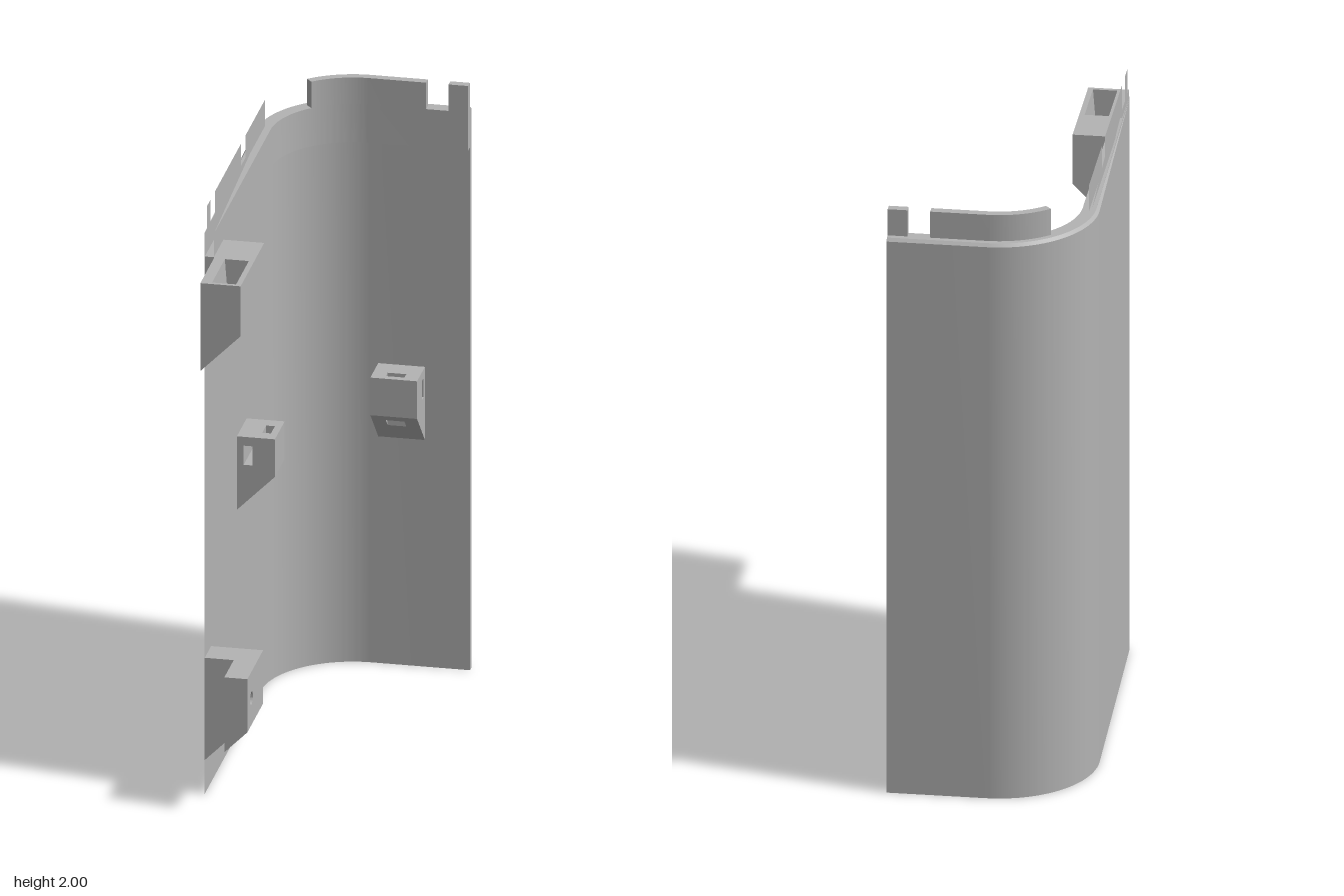
import * as THREE from 'three';
import { toCreasedNormals } from 'three/addons/utils/BufferGeometryUtils.js';

const CZ = -0.383;      // z of the corner arc centre (x = 0)
const FRONT = 0.483;    // front end of the side wall
const RIGHT = 0.315;    // free end of the back wall
const OUT = 0.317, MID = 0.294, IN = 0.264; // wall offsets from the arc centre

export function createModel() {
  const model = new THREE.Group();
  model.name = 'cornerPanel';
  const grey = new THREE.MeshStandardMaterial({ color: 0xb3b3b3, side: THREE.DoubleSide });
  grey.name = 'grey plastic';

  const add = (parent, name, geometry) => {
    const mesh = new THREE.Mesh(geometry, grey);
    mesh.name = name;
    parent.add(mesh);
    return mesh;
  };
  const group = (name) => {
    const g = new THREE.Group();
    g.name = name;
    model.add(g);
    return g;
  };
  const polygon = (points) => new THREE.Shape(points.map(([x, y]) => new THREE.Vector2(x, y)));

  // Prism with an x-y profile, running from z0 to z1
  const prism = (points, z0, z1, hole) => {
    const shape = polygon(points);
    if (hole) shape.holes.push(polygon(hole));
    return new THREE.ExtrudeGeometry(shape, { depth: z1 - z0, bevelEnabled: false }).translate(0, 0, z0);
  };

  // Upright band along the L-shaped wall; start = angle on the arc, or null for the whole side wall
  const band = (rOut, rIn, y0, y1, endX = RIGHT, start = null) => {
    const a = start ?? Math.PI, s = new THREE.Shape();
    if (start === null) s.moveTo(-rOut, -FRONT);
    else s.moveTo(rOut * Math.cos(a), -CZ + rOut * Math.sin(a));
    s.absarc(0, -CZ, rOut, a, Math.PI / 2, true);
    s.lineTo(endX, -CZ + rOut);
    s.lineTo(endX, -CZ + rIn);
    s.absarc(0, -CZ, rIn, Math.PI / 2, a, false);
    if (start === null) s.lineTo(-rIn, -FRONT);
    s.closePath();
    const g = new THREE.ExtrudeGeometry(s, { depth: y1 - y0, bevelEnabled: false, curveSegments: 28 });
    return g.rotateX(-Math.PI / 2).translate(0, y0, 0);
  };

  // Main curved wall
  add(model, 'wall', toCreasedNormals(band(OUT, MID, 0, 1.9), 0.5));

  // Chamfered top rim: outer top vertices are pulled inwards
  const rim = band(OUT, MID, 1.9, 1.91);
  const p = rim.attributes.position;
  for (let i = 0; i < p.count; i++) {
    const x = Math.min(p.getX(i), 0), z = Math.min(p.getZ(i) - CZ, 0);
    const d = Math.hypot(x, z);
    if (p.getY(i) > 1.905 && d > 0.31) {
      p.setX(i, p.getX(i) - (x / d) * 0.009);
      p.setZ(i, p.getZ(i) - (z / d) * 0.009);
    }
  }
  add(model, 'wallRim', toCreasedNormals(rim, 0.5));

  // Thicker inner lip and the tabs above it
  add(model, 'innerLip', toCreasedNormals(band(MID, IN, 1.78, 1.91), 0.5));
  add(model, 'curvedTab', toCreasedNormals(band(0.291, IN, 1.91, 2, 0.18, Math.PI * 0.73), 0.5));
  add(model, 'endTab', new THREE.BoxGeometry(0.063, 0.09, 0.027).translate(0.2835, 1.955, CZ - 0.2775));
  for (const [z0, z1] of [[0.43, FRONT], [-0.04, 0.36], [-0.41, -0.11]]) {
    add(model, 'thinSideTab', new THREE.PlaneGeometry(z1 - z0, 0.09)
      .rotateY(Math.PI / 2).translate(-0.287, 1.955, (z0 + z1) / 2));
  }

  // Wedge clip with a vertical slot and a cross slot; x is the distance from the wall
  const clip = (name) => {
    const g = group(name);
    const slot = [[0.022, 0.155], [0.05, 0.155], [0.05, 0.22], [0.022, 0.22]];
    const part = (u0, u1) => [[u0, u0], [u1, u1], [u1, 0.25], [u0, 0.25]];
    add(g, 'clipSide', prism(part(0, 0.122), 0, 0.045, slot));
    add(g, 'clipSide', prism(part(0, 0.122), 0.105, 0.15, slot));
    add(g, 'clipBase', prism(part(0, 0.072), 0.045, 0.105, slot));
    add(g, 'clipFace', prism(part(0.1, 0.122), 0.045, 0.105));
    return g;
  };
  clip('sideClip').position.set(-0.292, 0.77, -0.15);
  const backClip = clip('backClip');
  backClip.rotation.y = -Math.PI / 2;
  backClip.position.set(0.17, 0.77, CZ - 0.295);

  // Upper bracket: sloped underside, pocket in the top
  const upper = group('upperBracket');
  const top = 1.83, face = -0.133;
  const slope = (x) => x + 1.793;
  const upperProfile = (x) => [[x, slope(x)], [face, slope(face)], [face, top], [x, top]];
  add(upper, 'bracketRoot', prism(upperProfile(-0.293), 0.34, 0.487));
  add(upper, 'bracketArm', prism(upperProfile(-0.262), 0.487, 0.495));
  add(upper, 'bracketPocket', prism([
    [-0.262, slope(-0.262)], [face, slope(face)], [face, top], [-0.15, top],
    [-0.16, 1.7], [-0.217, 1.7], [-0.227, top], [-0.262, top],
  ], 0.495, 0.69));
  add(upper, 'bracketEnd', prism(upperProfile(-0.262), 0.69, 0.703));

  // Lower bracket: sloped underside, round screw hole through the arm
  const lower = group('lowerBracket');
  add(lower, 'bracketRoot', prism(
    [[-0.293, 0.117], [-0.126, 0.284], [-0.126, 0.465], [-0.293, 0.465]], 0.39, 0.488));
  add(lower, 'bracketWedge', prism([[-0.2, 0.21], [-0.126, 0.284], [-0.2, 0.284]], 0.488, 0.632));
  const plate = polygon([[-0.632, 0.284], [-0.488, 0.284], [-0.488, 0.465], [-0.632, 0.465]]);
  plate.holes.push(new THREE.Path().absarc(-0.57, 0.375, 0.022, 0, Math.PI * 2, true));
  const arm = new THREE.ExtrudeGeometry(plate, { depth: 0.074, bevelEnabled: false, curveSegments: 20 });
  add(lower, 'bracketArm', toCreasedNormals(arm.rotateY(Math.PI / 2).translate(-0.2, 0, 0), 0.5));

  return model;
}
